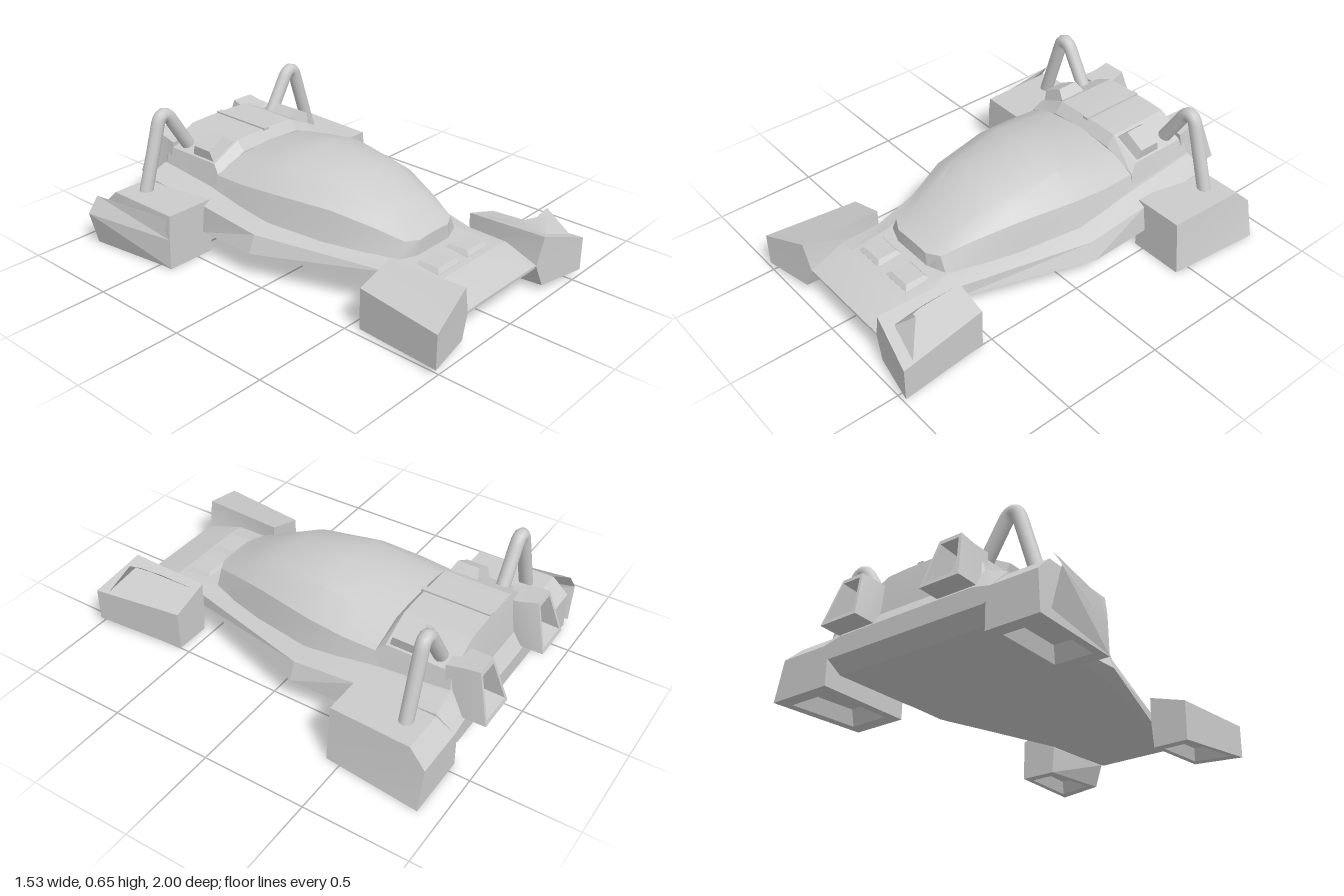
import * as THREE from 'three';
import { toCreasedNormals } from 'three/addons/utils/BufferGeometryUtils.js';

const mat = new THREE.MeshStandardMaterial({ color: 0xcccccc });
const thin = new THREE.MeshStandardMaterial({ color: 0xcccccc, side: THREE.DoubleSide });

// Closed solid skinned over rings of [x, y, z]; faces are turned outward by volume sign
function loft(name, rings, crease = 0.3) {
  const tris = [];
  const n = rings[0].length;
  for (let r = 0; r < rings.length - 1; r++) {
    for (let i = 0; i < n; i++) {
      const j = (i + 1) % n;
      const [a, b, c, d] = [rings[r][i], rings[r][j], rings[r + 1][j], rings[r + 1][i]];
      tris.push([a, b, c], [a, c, d]);
    }
  }
  const cap = (ring, flip) => {
    const mid = [0, 1, 2].map(k => ring.reduce((s, p) => s + p[k], 0) / n);
    ring.forEach((p, i) => {
      const q = ring[(i + 1) % n];
      tris.push(flip ? [mid, q, p] : [mid, p, q]);
    });
  };
  cap(rings[0], true);
  cap(rings[rings.length - 1], false);
  const v = p => new THREE.Vector3(...p);
  const volume = tris.reduce((s, [a, b, c]) => s + v(a).dot(v(b).cross(v(c))), 0);
  if (volume < 0) tris.forEach(t => t.reverse());
  return mesh(name, surface(tris, crease), mat);
}

function surface(tris, crease) {
  const g = new THREE.BufferGeometry();
  g.setAttribute('position', new THREE.Float32BufferAttribute(tris.flat(2), 3));
  return toCreasedNormals(g, crease);
}

function mesh(name, geometry, material) {
  const m = new THREE.Mesh(geometry, material);
  m.name = name;
  return m;
}

// Half profile [x, y] mirrored into a full ring at z
const mirrorRing = (half, z) => [
  ...half.map(([x, y]) => [x, y, z]),
  ...half.slice().reverse().map(([x, y]) => [-x, y, z]),
];

// Ring shrunk toward its centre, then shifted
function inset(ring, f, dy = 0, dz = 0) {
  const shift = [0, dy, dz];
  const c = [0, 1, 2].map(k => ring.reduce((s, p) => s + p[k], 0) / ring.length);
  return ring.map(p => p.map((value, k) => c[k] + (value - c[k]) * f + shift[k]));
}

// Raised pad with sloping sides
function pad(name, w, h, l) {
  const ring = (f, y) => [[-1, -1], [1, -1], [1, 1], [-1, 1]].map(([x, z]) => [x * w * f / 2, y, z * l * f / 2]);
  return loft(name, [ring(1, -0.03), ring(1, 0), ring(0.76, h)]);
}

export function createModel() {
  const model = new THREE.Group();
  const body = new THREE.Group();
  body.name = 'vehicle';
  body.position.x = 0.02;
  model.add(body);

  // Hull: bottom, chine, wall top and deck edge at each station
  const stations = [
    [0.94, [[0.24, 0.135], [0.255, 0.14], [0.255, 0.145], [0.23, 0.148]]],
    [0.76, [[0.26, 0.13], [0.28, 0.14], [0.28, 0.19], [0.2, 0.2]]],
    [0.55, [[0.26, 0.125], [0.29, 0.135], [0.285, 0.19], [0.21, 0.21]]],
    [-0.1, [[0.44, 0.1], [0.495, 0.125], [0.46, 0.21], [0.38, 0.245]]],
    [-0.43, [[0.43, 0.082], [0.48, 0.115], [0.465, 0.245], [0.38, 0.29]]],
    [-0.82, [[0.42, 0.07], [0.48, 0.11], [0.475, 0.28], [0.37, 0.32]]],
    [-0.9, [[0.42, 0.12], [0.45, 0.14], [0.45, 0.19], [0.36, 0.21]]],
  ];
  body.add(loft('hull', stations.map(([z, half]) => mirrorRing(half, z)), 0.2));

  // Canopy: z, base half width and height, shoulder half width and height, crown height
  const canopy = [
    [0.565, 0.11, 0.2, 0.1, 0.28, 0.285],
    [0.53, 0.21, 0.19, 0.165, 0.285, 0.3],
    [0.4, 0.26, 0.2, 0.215, 0.325, 0.38],
    [0.2, 0.32, 0.21, 0.285, 0.37, 0.47],
    [-0.1, 0.385, 0.23, 0.345, 0.375, 0.51],
    [-0.28, 0.39, 0.24, 0.355, 0.365, 0.475],
    [-0.47, 0.385, 0.25, 0.345, 0.355, 0.43],
  ].map(([z, bw, by, sw, sy, top]) => {
    const arc = [[1, 0], [0.82, 0.4], [0.62, 0.71], [0.32, 0.89], [0.01, 1]];
    return mirrorRing([[bw, by], ...arc.map(([f, h]) => [sw * f, sy + (top - sy) * h])], z);
  });
  body.add(loft('canopy', canopy, 0.42));

  // Engine hood with a centre rib
  const hood = [
    [-0.45, [[0.385, 0.22], [0.35, 0.36], [0.18, 0.425], [0.08, 0.43]]],
    [-0.49, [[0.385, 0.22], [0.335, 0.4], [0.18, 0.475], [0.08, 0.48]]],
    [-0.815, [[0.385, 0.22], [0.335, 0.4], [0.18, 0.475], [0.08, 0.48]]],
    [-0.85, [[0.37, 0.2], [0.33, 0.25], [0.18, 0.28], [0.08, 0.28]]],
  ];
  body.add(loft('engineHood', hood.map(([z, half]) => mirrorRing(half, z)), 0.2));
  const rib = mesh('hoodRib', new THREE.BoxGeometry(0.03, 0.012, 0.34), mat);
  rib.position.set(0, 0.482, -0.645);
  body.add(rib);

  for (const s of [-1, 1]) {
    const side = s > 0 ? 'left' : 'right';
    const flip = ring => ring.map(([x, y, z]) => [s * x, y, z]);

    // Front fender, hollow beneath
    const foot = [[0.54, 0.03, 1], [0.48, 0, 0.55], [0.3, 0, 0.55], [0.3, 0.03, 0.95]];
    const waist = [[0.54, 0.11, 1], [0.48, 0.1, 0.55], [0.29, 0.13, 0.55], [0.255, 0.14, 0.94]];
    const crown = [[0.54, 0.195, 1], [0.48, 0.2, 0.55], [0.29, 0.26, 0.55], [0.29, 0.278, 0.95]];
    const fender = [inset(foot, 0.6, 0.06), inset(foot, 0.75), foot, waist, crown];
    body.add(loft(side + 'FrontFender', fender.map(flip)));

    // Rear pod, hollow beneath; the right one has an upright outer wall
    const outer = (flared, flat) => s > 0 ? flared : flat;
    const base = [[outer(0.70, 0.685), 0, -0.43], [outer(0.745, 0.69), 0, -0.9], [0.43, 0, -0.9], [0.43, 0, -0.43]];
    const shelf = [[outer(0.68, 0.68), 0.19, -0.43], [outer(0.7, 0.68), 0.19, -0.9], [0.43, 0.19, -0.9], [0.43, 0.19, -0.43]];
    const top = [[outer(0.67, 0.67), 0.268, -0.43], [outer(0.685, 0.675), 0.268, -0.82], [0.43, 0.268, -0.82], [0.43, 0.268, -0.43]];
    body.add(loft(side + 'RearPod', [inset(base, 0.58, 0.07), inset(base, 0.72), base, shelf, top].map(flip)));

    // Exhaust box, narrower at the top, with a deep outlet
    const front = [[0.19, 0.22, -0.8], [0.36, 0.22, -0.8], [0.34, 0.43, -0.78], [0.19, 0.43, -0.78]];
    const lip = [[0.175, 0.22, -0.9], [0.375, 0.22, -0.9], [0.33, 0.44, -0.86], [0.2, 0.44, -0.86]];
    const rear = [[0.175, 0.222, -1], [0.375, 0.222, -1], [0.33, 0.452, -0.935], [0.215, 0.452, -0.935]];
    body.add(loft(side + 'Exhaust', [front, lip, rear, inset(rear, 0.82), inset(rear, 0.7, 0, 0.1)].map(flip)));

    // Bent roll bar
    const path = new THREE.CurvePath();
    const p = (x, y) => new THREE.Vector3(s * x, y, -0.73);
    path.add(new THREE.LineCurve3(p(0.575, 0.22), p(0.465, 0.57)));
    path.add(new THREE.CubicBezierCurve3(p(0.465, 0.57), p(0.45, 0.625), p(0.415, 0.63), p(0.385, 0.58)));
    path.add(new THREE.LineCurve3(p(0.385, 0.58), p(0.28, 0.41)));
    body.add(mesh(side + 'RollBar', new THREE.TubeGeometry(path, 40, 0.033, 12), mat));

    // Vents on the hood and the nose
    const vent = pad(side + 'HoodVent', 0.145, 0.05, 0.14);
    vent.position.set(s * 0.262, 0.437, -0.575);
    vent.rotation.z = -s * 0.5;
    body.add(vent);
    const noseVent = pad(side + 'NoseVent', 0.15, 0.02, 0.13);
    noseVent.position.set(s * 0.105, 0.203, 0.665);
    body.add(noseVent);
  }

  // Torn flap curling up from the left front fender
  const pivot = [0.34, 0.24, 0.92];
  const edge = [[0.33, 0.25, 0.59], [0.345, 0.265, 0.76], [0.39, 0.3, 0.84], [0.44, 0.335, 0.86], [0.52, 0.2, 0.94]];
  const flap = edge.slice(1).map((q, i) => [pivot, q, edge[i]]);
  body.add(mesh('tornFlap', surface(flap, 0.6), thin));

  // Loose panel buckled off the right rear pod
  const low = [[-0.685, 0.005, -0.43], [-0.74, 0, -0.9]];
  const bulge = [[-0.68, 0.15, -0.43], [-0.785, 0.17, -0.895]];
  const high = [[-0.67, 0.25, -0.43], [-0.735, 0.25, -0.885]];
  const panel = [[low, bulge], [bulge, high]].flatMap(([[a, b], [d, c]]) => [[a, c, b], [a, d, c]]);
  body.add(mesh('loosePanel', surface(panel, 0.2), thin));

  return model;
}
